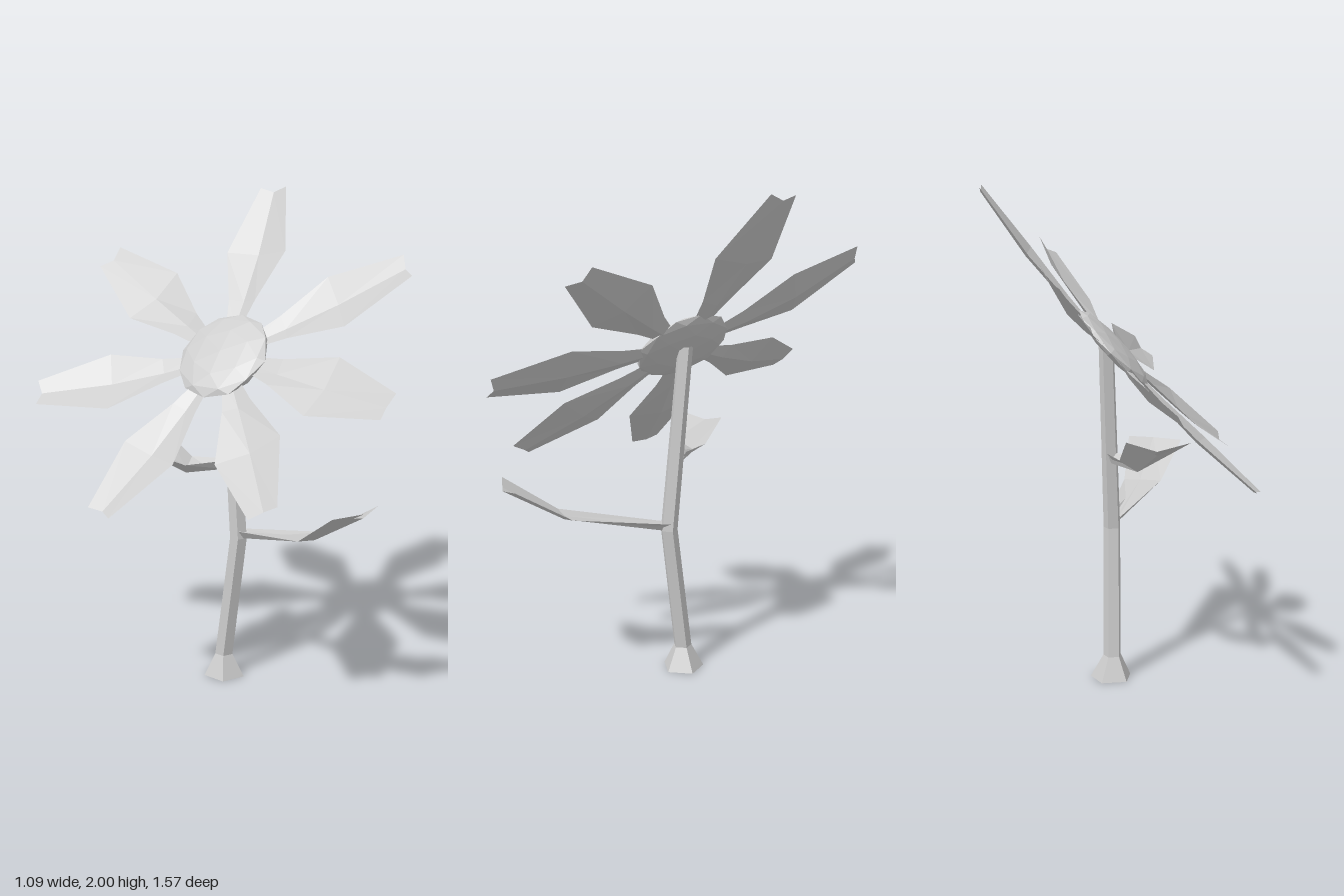
import * as THREE from 'three';

const material = new THREE.MeshStandardMaterial({ color: 0xcccccc, flatShading: true, side: THREE.DoubleSide });

// Skins a surface over cross-sections that all have the same number of points
function loft(name, sections, closed) {
  const n = sections[0].length;
  const index = [];
  for (let s = 0; s < sections.length - 1; s++) {
    for (let i = 0; i < (closed ? n : n - 1); i++) {
      const a = s * n + i, b = s * n + (i + 1) % n;
      index.push(a, a + n, b, b, a + n, b + n);
    }
  }
  const geometry = new THREE.BufferGeometry();
  geometry.setAttribute('position', new THREE.Float32BufferAttribute(sections.flat(2), 3));
  geometry.setIndex(index);
  geometry.computeVertexNormals();
  const mesh = new THREE.Mesh(geometry, material);
  mesh.name = name;
  return mesh;
}

// Five-sided horizontal ring
function ring([x, y, z, r]) {
  return Array.from({ length: 5 }, (_, i) => {
    const a = (78 + 72 * i) * Math.PI / 180;
    return [x + r * Math.cos(a), y, z + r * Math.sin(a)];
  });
}

// Petal along +x: widens to the middle, narrows to a notched tip, with a central fold
function petal(length, lift) {
  const rows = [ // distance, half width, fold depth, share of lift
    [0.14, 0.035, 0.01, 0], [0.27, 0.062, 0.018, 0.1],
    [0.5, 0.138, 0.025, 0.4], [length, 0.06, 0.015, 1],
  ];
  return loft('petal', rows.map(([x, w, fold, k], i) => [
    [x, lift * k, -w],
    [x - (i === 3 ? 0.015 : 0), lift * k - fold, 0],
    [x, lift * k, w],
  ]), false);
}

// Leaf from left edge, keel and right edge points, with a thin upper skin
function leaf(name, rows) {
  return loft(name, rows.map(([l, k, r]) => [l, k, r, [k[0], k[1] + 0.015, k[2]]]), true);
}

export function createModel() {
  const model = new THREE.Group();

  // Bent stem with a flared foot
  model.add(loft('stem', [
    [0.04, 0, -0.035, 0], [0.04, 0, -0.035, 0.087], [0.036, 0.095, -0.035, 0.038],
    [0.04, 0.62, 0.035, 0.036], [0.058, 1.375, -0.03, 0.032],
  ].map(ring), true));

  // Tilted flower head
  const head = new THREE.Group();
  head.name = 'flowerHead';
  head.position.set(0.03, 1.37, -0.035);
  head.rotation.z = 0.82;
  model.add(head);

  const disc = new THREE.Mesh(new THREE.IcosahedronGeometry(0.2, 1), material);
  disc.name = 'flowerCentre';
  disc.scale.y = 0.17;
  head.add(disc);

  // Petals: angle in degrees and how far the tip lifts
  const petals = [[-7, 0.06], [52.5, 0.02], [99, 0.01], [142.5, 0.02], [193, 0.05], [245, 0.09], [296.5, 0.09]];
  for (const [angle, lift] of petals) {
    const p = petal(0.81, lift);
    p.rotation.y = -angle * Math.PI / 180;
    head.add(p);
  }

  // Leaves
  model.add(leaf('lowerLeaf', [
    [[0.02, 0.65, 0.04], [0.045, 0.615, 0.04], [0.07, 0.65, 0.04]],
    [[-0.15, 0.73, 0.44], [-0.06, 0.715, 0.46], [0.01, 0.73, 0.46]],
    [[-0.235, 0.875, 0.64], [-0.11, 0.86, 0.7], [0, 0.88, 0.7]],
  ]));
  model.add(leaf('upperLeaf', [
    [[0.02, 0.94, -0.02], [0.04, 0.9, -0.03], [0.055, 0.94, -0.04]],
    [[-0.13, 0.94, -0.11], [-0.07, 0.89, -0.15], [0, 0.94, -0.17]],
    [[-0.28, 1.02, -0.21], [-0.15, 0.98, -0.27], [-0.03, 1.03, -0.27]],
  ]));

  return model;
}
